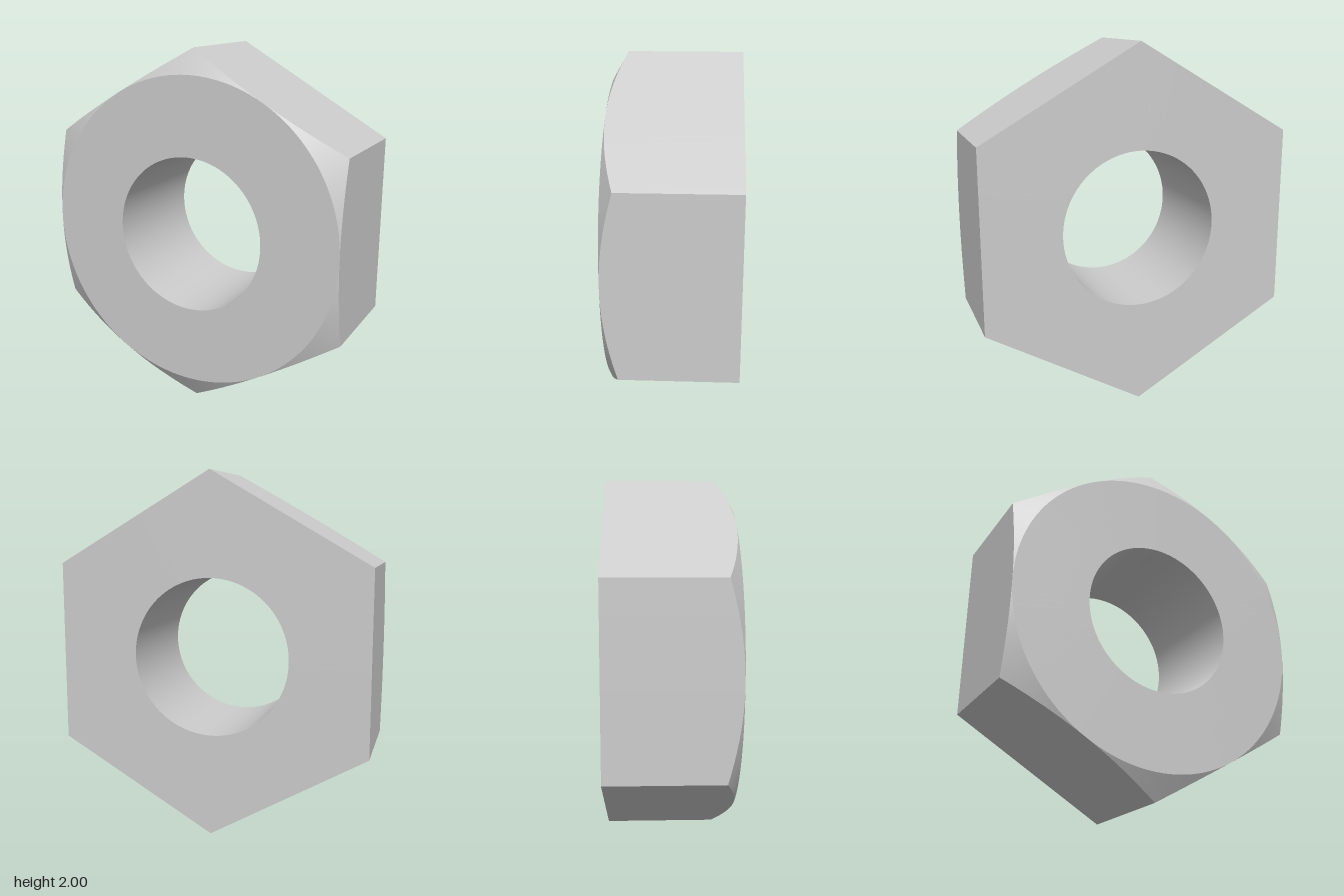
import * as THREE from 'three';

const APOTHEM = Math.sqrt(3) / 2; // half the width across flats (corner radius 1)
const BORE = 0.433;
const HALF = 0.345; // half thickness
const SLOPE = Math.tan(Math.PI / 6); // chamfer angle
const STEPS = 24; // segments per hexagon side

// A band between two rings around z. Each ring gives [radius, z] from the
// angle away from the middle of a hexagon side.
function band(name, ringA, ringB, normalAt, material) {
  const positions = [], normals = [], index = [];
  for (let side = 0; side < 6; side++) {
    const middle = side * Math.PI / 3;
    const start = positions.length / 3;
    for (let i = 0; i <= STEPS; i++) {
      const off = (i / STEPS - 0.5) * Math.PI / 3;
      const a = middle + off;
      for (const ring of [ringA, ringB]) {
        const [r, z] = ring(off);
        positions.push(r * Math.cos(a), r * Math.sin(a), z);
        normals.push(...normalAt(a, middle));
      }
      if (i < STEPS) {
        const k = start + i * 2;
        index.push(k, k + 1, k + 3, k, k + 3, k + 2);
      }
    }
  }
  const geometry = new THREE.BufferGeometry();
  geometry.setAttribute('position', new THREE.Float32BufferAttribute(positions, 3));
  geometry.setAttribute('normal', new THREE.Float32BufferAttribute(normals, 3));
  geometry.setIndex(index);
  const mesh = new THREE.Mesh(geometry, material);
  mesh.name = name;
  return mesh;
}

export function createModel() {
  const nut = new THREE.Group();
  nut.name = 'hexNut';
  const material = new THREE.MeshStandardMaterial({ color: 0xcccccc });

  // Rings of the cross-section
  const hexRadius = (off) => APOTHEM / Math.cos(off);
  const boreFront = () => [BORE, HALF];
  const boreBack = () => [BORE, -HALF];
  const faceEdge = () => [APOTHEM, HALF];
  const hexBack = (off) => [hexRadius(off), -HALF];
  // The chamfer cone meets each flat in a curved edge
  const hexFront = (off) => [hexRadius(off), HALF - (hexRadius(off) - APOTHEM) * SLOPE];

  // Outward normals
  const radial = (a, out, z) => [out * Math.cos(a), out * Math.sin(a), z];
  const front = () => [0, 0, 1];
  const back = () => [0, 0, -1];
  const cone = (a) => radial(a, 0.5, APOTHEM);
  const flat = (a, middle) => radial(middle, 1, 0);
  const inward = (a) => radial(a, -1, 0);

  nut.add(
    band('frontFace', boreFront, faceEdge, front, material),
    band('chamfer', faceEdge, hexFront, cone, material),
    band('sideFlats', hexFront, hexBack, flat, material),
    band('backFace', hexBack, boreBack, back, material),
    band('bore', boreBack, boreFront, inward, material),
  );
  nut.position.y = 1;

  const model = new THREE.Group();
  model.name = 'model';
  model.add(nut);
  return model;
}
